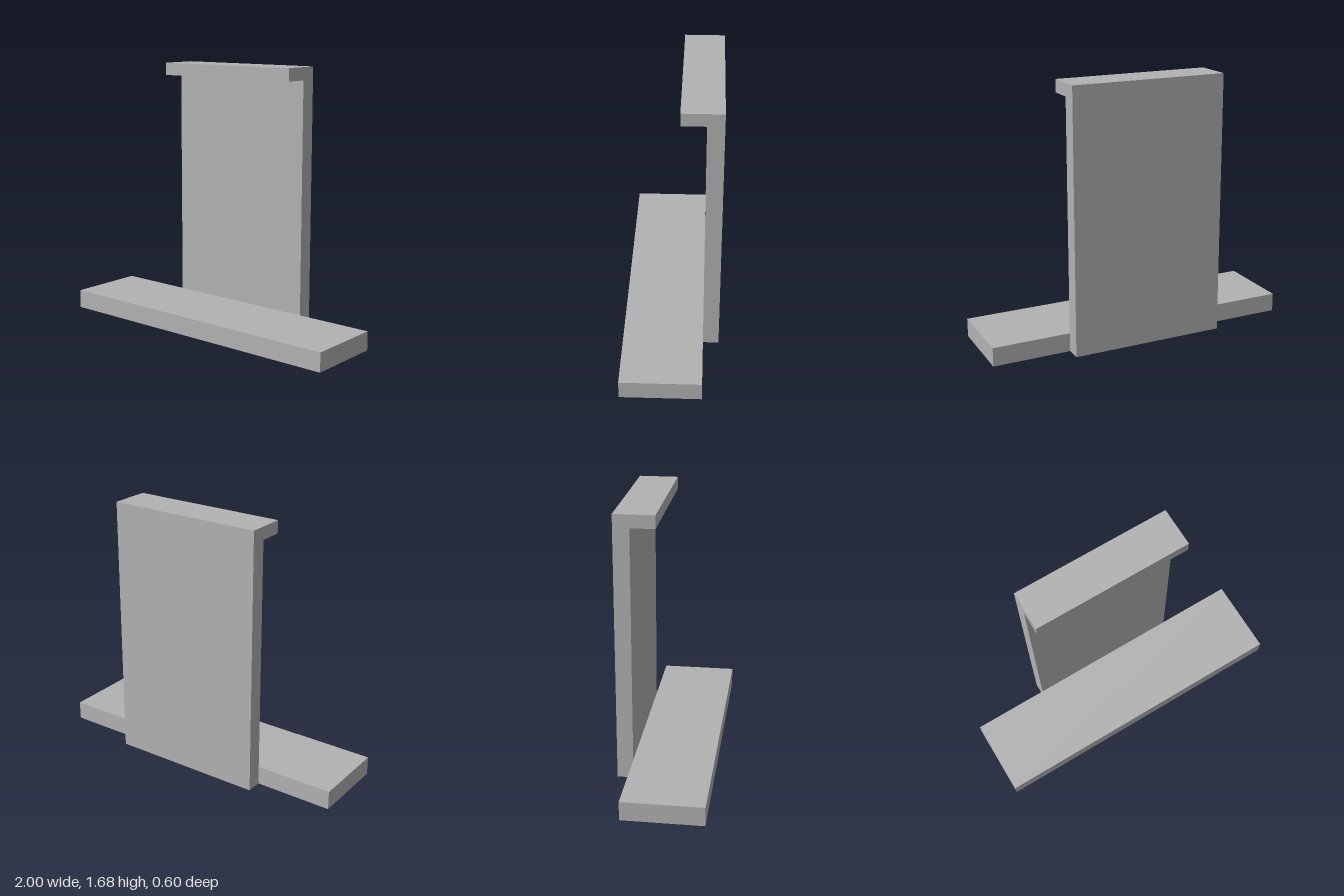
import * as THREE from 'three';

export function createModel() {
  const group = new THREE.Group();
  const grey = new THREE.MeshStandardMaterial({ color: 0xb2b2b2 });
  grey.name = 'grey';

  // Wide foot slab in front of the upright
  const base = new THREE.Mesh(new THREE.BoxGeometry(2, 0.12, 0.5), grey);
  base.name = 'base';
  base.position.set(0, 0.06, 0.05);
  group.add(base);

  // Upright panel with a lip at the top, as one side profile (z, y) swept along x
  const profile = new THREE.Shape([
    [-0.3, 0], [-0.2, 0], [-0.2, 1.6], [-0.05, 1.6], [-0.05, 1.68], [-0.3, 1.68],
  ].map(([z, y]) => new THREE.Vector2(-z, y)));
  const geometry = new THREE.ExtrudeGeometry(profile, { depth: 1, bevelEnabled: false });
  geometry.translate(0, 0, -0.5);
  geometry.rotateY(Math.PI / 2); // shape x becomes -z, depth becomes x
  const panel = new THREE.Mesh(geometry, grey);
  panel.name = 'uprightWithLip';
  group.add(panel);

  return group;
}
